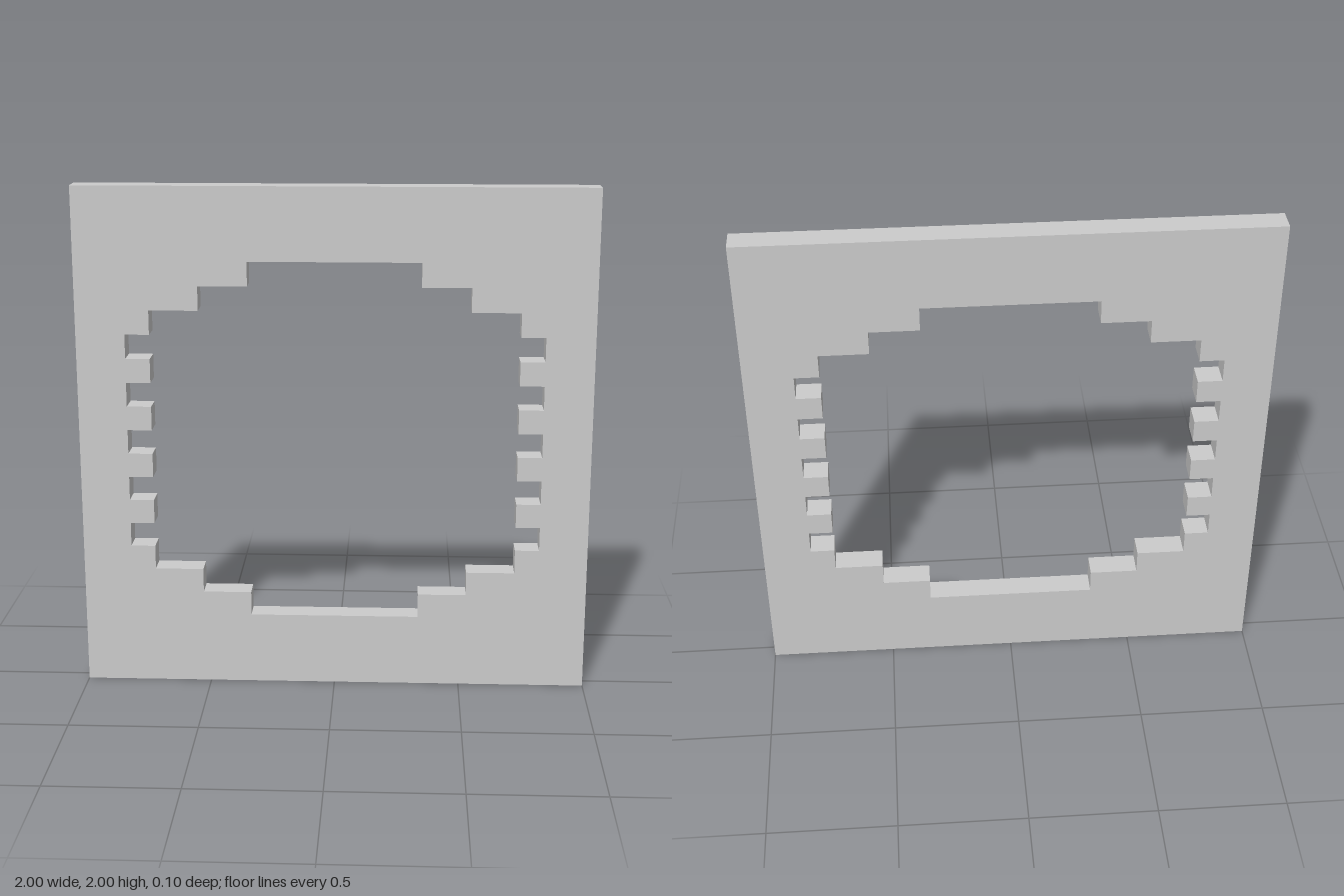
import * as THREE from 'three';

// The panel is a 21 x 21 grid of square cells, one cell thick
const CELLS = 21;
const U = 2 / CELLS;

// Half-width of the opening in cells, row by row from the bottom up
const FIRST_ROW = 3;
const HALF_WIDTHS = [3.5, 5.5, 7.5, 8.5, 7.5, 8.5, 7.5, 8.5, 7.5, 8.5, 7.5, 8.5, 7.5, 5.5, 3.5];

// Stepped, toothed opening: right edge going up, then its mirror coming down
function openingPath() {
  const right = HALF_WIDTHS.flatMap((w, i) => [
    new THREE.Vector2(w * U, (FIRST_ROW + i) * U),
    new THREE.Vector2(w * U, (FIRST_ROW + i + 1) * U),
  ]);
  const left = right.map((p) => new THREE.Vector2(-p.x, p.y)).reverse();
  return new THREE.Path([...right, ...left]);
}

export function createModel() {
  const group = new THREE.Group();
  group.name = 'framePanel';

  // Square outer outline
  const outline = new THREE.Shape([
    new THREE.Vector2(-1, 0),
    new THREE.Vector2(1, 0),
    new THREE.Vector2(1, 2),
    new THREE.Vector2(-1, 2),
  ]);
  outline.holes.push(openingPath());

  const geometry = new THREE.ExtrudeGeometry(outline, { depth: U, bevelEnabled: false });
  geometry.translate(0, 0, -U / 2);

  const frame = new THREE.Mesh(
    geometry,
    new THREE.MeshStandardMaterial({ color: 0xcccccc, flatShading: true })
  );
  frame.name = 'frame';
  group.add(frame);
  return group;
}
